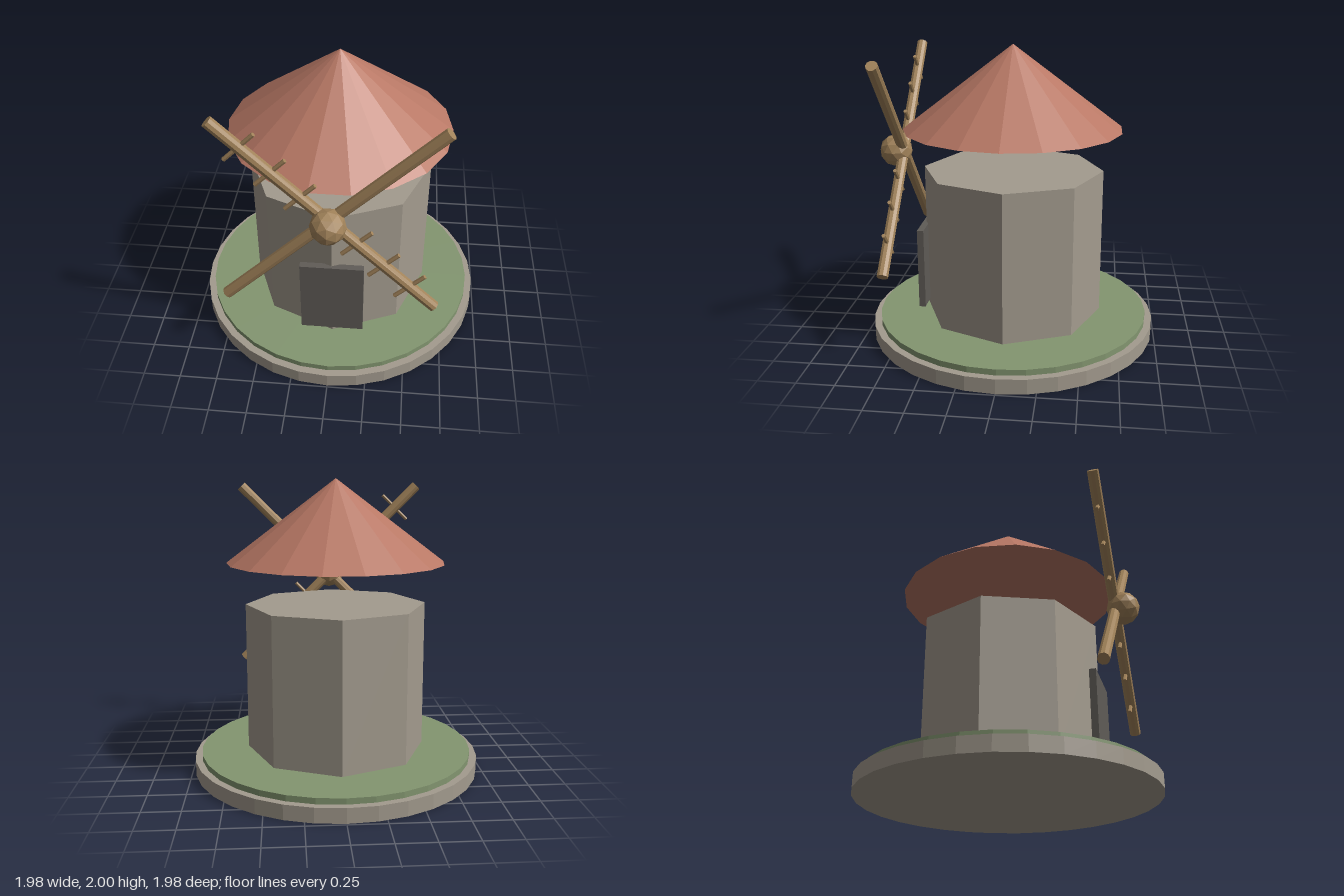
import * as THREE from 'three';

const mat = (name, color) => {
  const m = new THREE.MeshStandardMaterial({ color, flatShading: true });
  m.name = name;
  return m;
};

export function createModel() {
  const stone = mat('stone', 0xa39b8e);
  const grass = mat('grass', 0x839670);
  const tile = mat('roofTile', 0xb87865);
  const wood = mat('wood', 0xa2835a);
  const dark = mat('doorGrey', 0x605c57);

  const model = new THREE.Group();
  model.name = 'windmill';
  const add = (parent, name, geometry, material, x = 0, y = 0, z = 0) => {
    const mesh = new THREE.Mesh(geometry, material);
    mesh.name = name;
    mesh.position.set(x, y, z);
    parent.add(mesh);
    return mesh;
  };
  const cyl = (r, h, sides) => new THREE.CylinderGeometry(r, r, h, sides);

  // Round plinth with a lawn on top
  add(model, 'plinth', cyl(0.988, 0.1, 32), stone, 0, 0.05, 0);
  add(model, 'lawn', cyl(0.94, 0.04, 32), grass, 0, 0.12, 0);

  // Octagonal tower and door
  add(model, 'tower', cyl(0.617, 1.015, 8), stone, 0, 0.6475, 0);
  add(model, 'door', new THREE.BoxGeometry(0.42, 0.562, 0.045), dark, 0, 0.468, 0.617);

  // Conical roof floating above the tower
  const roof = add(model, 'roof', new THREE.ConeGeometry(0.74, 0.56, 18), tile, 0, 1.72, 0);
  roof.rotation.y = Math.PI / 2;

  // Sails: two crossed spars, one of them with rungs, and a faceted hub
  const sails = new THREE.Group();
  sails.name = 'sails';
  sails.position.set(0, 1.263, 0.76);
  model.add(sails);
  for (const side of [-1, 1]) {
    const arm = new THREE.Group();
    arm.name = side > 0 ? 'rungSpar' : 'plainSpar';
    arm.rotation.z = side * Math.PI / 4;
    sails.add(arm);
    add(arm, 'spar', cyl(0.038, 1.89, 10), wood);
    if (side < 0) continue;
    for (const end of [-1, 1]) {
      for (let i = 1; i <= 3; i++) {
        const rung = add(arm, 'rung', cyl(0.014, 0.26, 6), wood, 0, end * i * 0.238, 0);
        rung.rotation.z = Math.PI / 2;
      }
    }
  }
  add(sails, 'hub', new THREE.IcosahedronGeometry(0.113, 1), wood, 0, 0, 0.053);

  return model;
}
